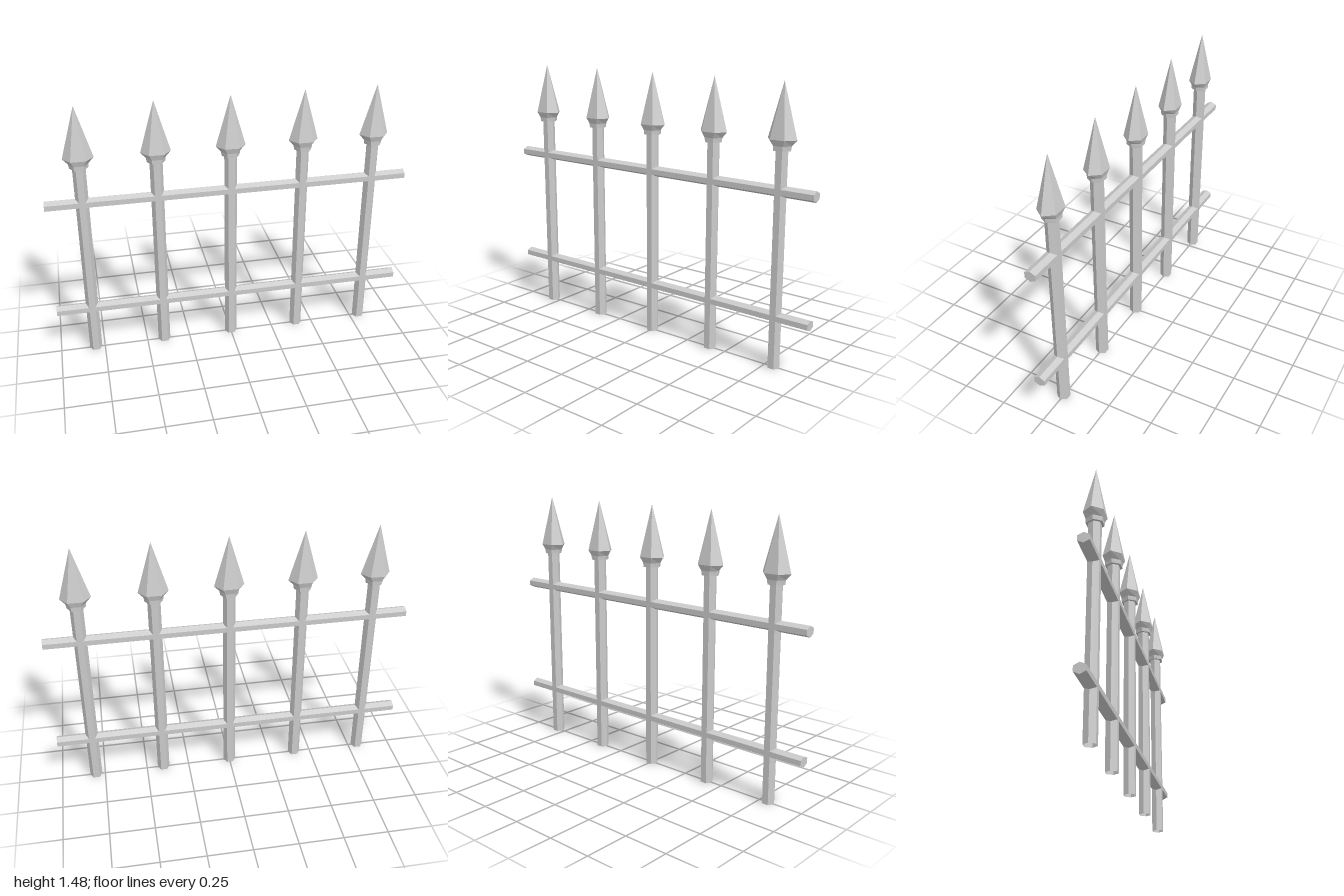
import * as THREE from 'three';

const HEX_TURN = Math.PI / 6; // puts hexagon corners on the ±x axis

// Hexagonal spearhead from rings [y, half width in x, half depth in z]
function spearGeometry(rings) {
  const profile = rings.map(([y, rx]) => new THREE.Vector2(rx, y));
  const geo = new THREE.LatheGeometry(profile, 6, HEX_TURN);
  const pos = geo.attributes.position;
  for (let i = 0; i < pos.count; i++) {
    const [, rx, hz] = rings[i % rings.length];
    if (rx > 0) pos.setZ(i, pos.getZ(i) * hz / (rx * Math.cos(HEX_TURN)));
  }
  geo.computeVertexNormals();
  return geo;
}

export function createModel() {
  const group = new THREE.Group();
  group.name = 'fence';
  const metal = new THREE.MeshStandardMaterial({
    color: 0xcccccc, flatShading: true, side: THREE.DoubleSide,
  });

  const add = (parent, name, geo, y) => {
    const mesh = new THREE.Mesh(geo, metal);
    mesh.name = name;
    mesh.position.y = y;
    parent.add(mesh);
  };

  // Hollow hexagonal post and the spearhead with its collar
  const postHeight = 1.15;
  const postGeo = new THREE.CylinderGeometry(0.035, 0.035, postHeight, 6, 1, true, HEX_TURN);
  const headGeo = spearGeometry([
    [1.143, 0.033, 0.029],
    [1.143, 0.049, 0.042],
    [1.167, 0.053, 0.043],
    [1.198, 0.081, 0.053],
    [1.48, 0, 0],
  ]);

  // Five evenly spaced pickets
  for (let i = -2; i <= 2; i++) {
    const picket = new THREE.Group();
    picket.name = 'picket';
    picket.position.x = i * 0.401;
    add(picket, 'post', postGeo, postHeight / 2);
    add(picket, 'spearhead', headGeo, 0);
    group.add(picket);
  }

  // Two slightly flattened hexagonal rails with a ridge along the top
  const railGeo = new THREE.CylinderGeometry(1, 1, 2, 6, 1, false, HEX_TURN);
  railGeo.rotateZ(Math.PI / 2).scale(1, 0.029, 0.035);
  add(group, 'lowerRail', railGeo, 0.278);
  add(group, 'upperRail', railGeo, 0.938);

  return group;
}
